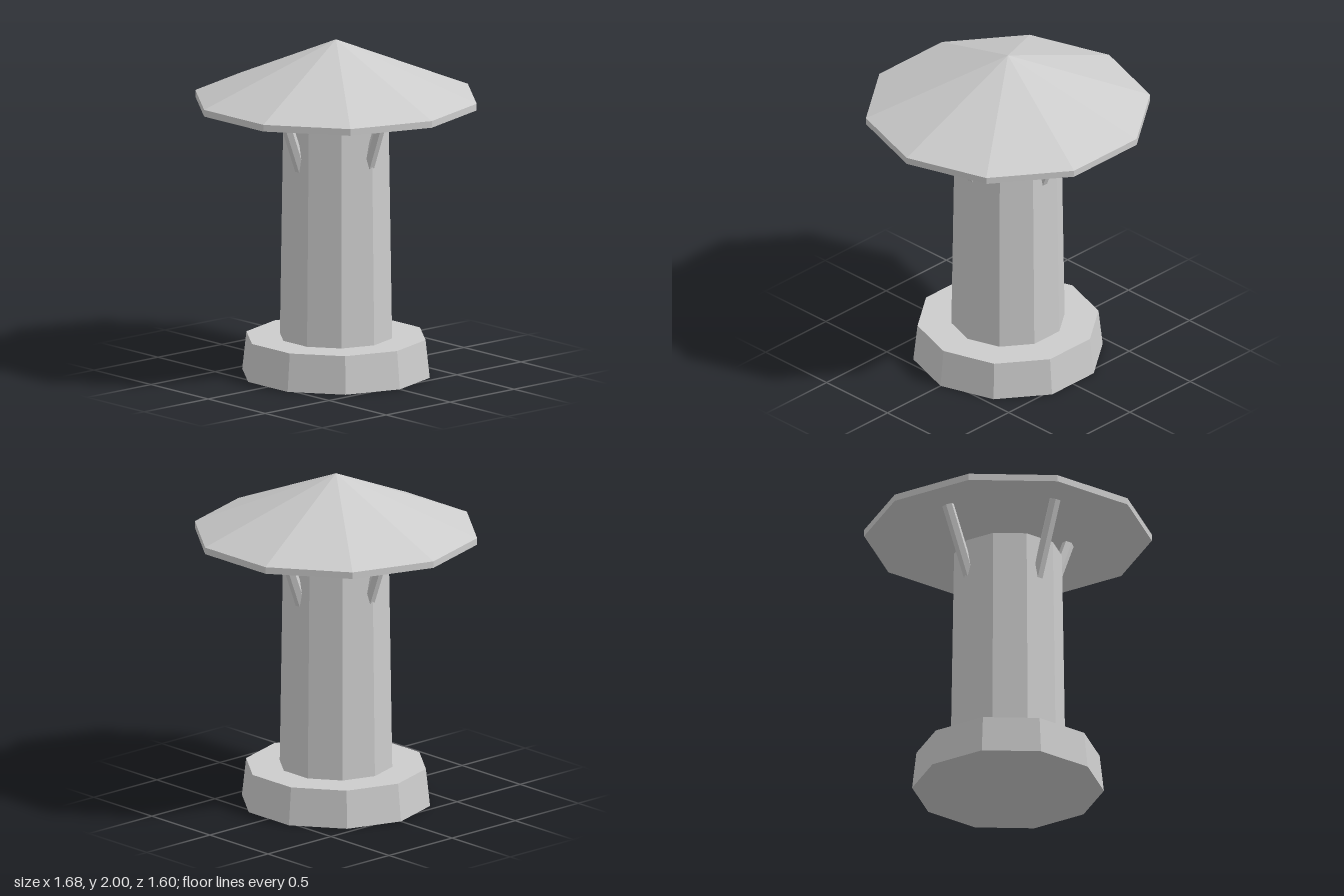
import * as THREE from 'three';

export function createModel() {
  const group = new THREE.Group();
  const grey = new THREE.MeshStandardMaterial({ color: 0xcccccc, flatShading: true });
  grey.name = 'light grey';

  const SIDES = 10;
  const add = (name, geometry) => {
    const mesh = new THREE.Mesh(geometry, grey);
    mesh.name = name;
    group.add(mesh);
    return mesh;
  };

  // Ten-sided tapered block with a corner on the x axis
  const block = (rTop, rBottom, y0, y1) =>
    new THREE.CylinderGeometry(rTop, rBottom, y1 - y0, SIDES)
      .rotateY(Math.PI / 2)
      .translate(0, (y0 + y1) / 2, 0);

  add('base', block(0.535, 0.56, 0, 0.225));
  add('column', block(0.315, 0.335, 0.225, 1.51));

  // Hollow conical cap: underside, rim, upper slope
  const profile = [[0, 1.96], [0.84, 1.615], [0.84, 1.655], [0, 2]]
    .map(([r, y]) => new THREE.Vector2(r, y));
  add('cap', new THREE.LatheGeometry(profile, SIDES).rotateY(Math.PI / 2));

  // Four hexagonal struts leaning outward from the column to the cap
  const lean = Math.atan(0.385);
  for (let i = 0; i < 4; i++) {
    add('strut' + (i + 1), new THREE.CylinderGeometry(0.035, 0.035, 0.54, 6)
      .rotateZ(-lean)
      .translate(0.348, 1.45, 0)
      .rotateY(i * Math.PI / 2));
  }

  return group;
}
